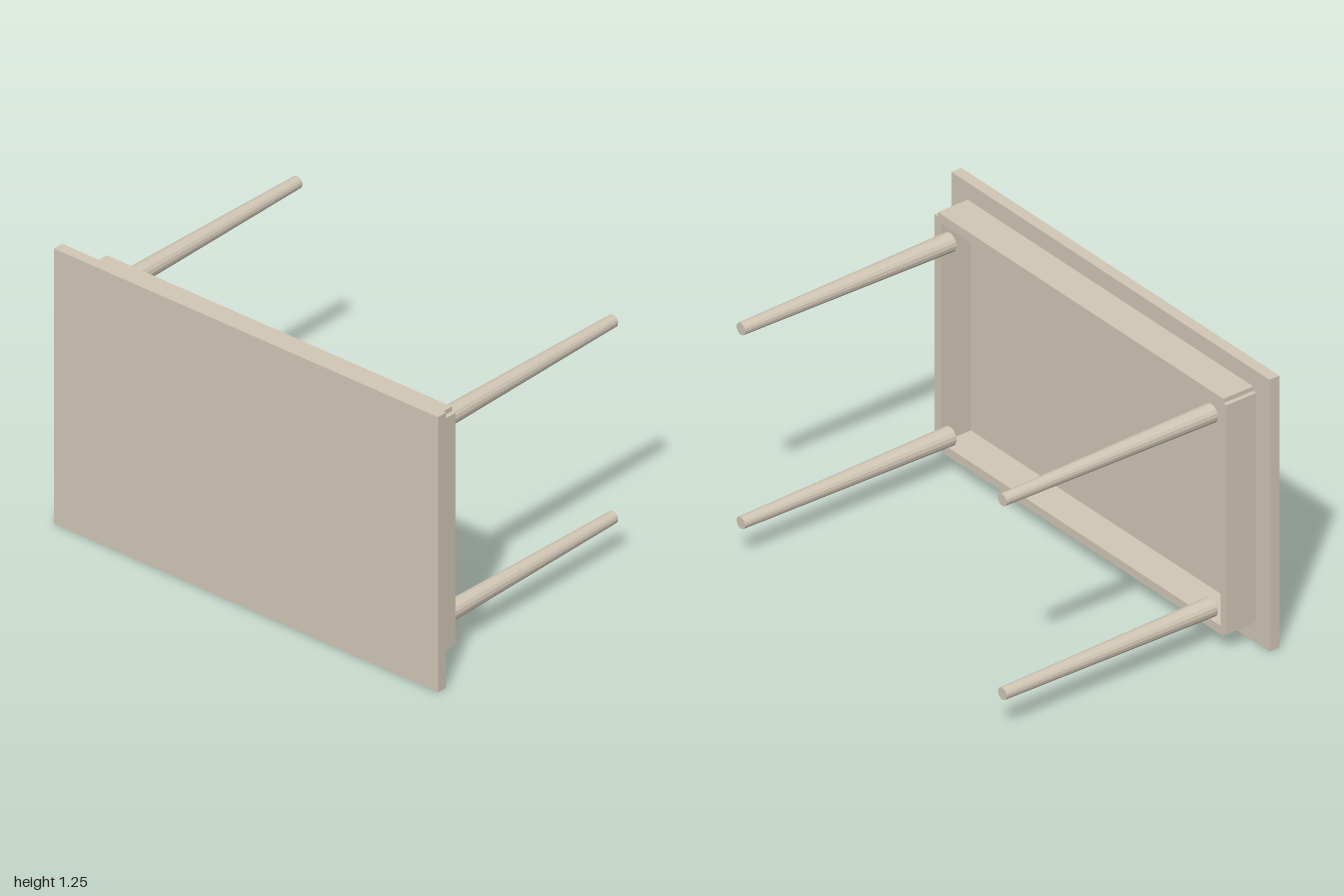
import * as THREE from 'three';

// A table tipped on its side: the top faces +z and the legs point to -z.
export function createModel() {
  const model = new THREE.Group();
  model.name = 'table';
  const material = new THREE.MeshStandardMaterial({ color: 0xd0c6b5, flatShading: true });
  const midY = 0.625;

  function add(name, geometry, x, y, z) {
    const mesh = new THREE.Mesh(geometry, material);
    mesh.name = name;
    mesh.position.set(x, y, z);
    model.add(mesh);
    return mesh;
  }

  // Table top
  add('tableTop', new THREE.BoxGeometry(2, 1.25, 0.05), 0, midY, 0.6);

  // Apron frame: boards end at each other's centre lines, leaving notched corners
  const board = 0.04, depth = 0.15, apronZ = 0.5;
  const halfX = 0.898, halfY = 0.526;
  const longApron = new THREE.BoxGeometry(2 * halfX, board, depth);
  const shortApron = new THREE.BoxGeometry(board, 2 * halfY, depth);

  // Round tapered legs, wide at the apron and narrow at the foot
  const leg = new THREE.CylinderGeometry(0.042, 0.027, 1.05, 16);
  leg.rotateX(Math.PI / 2);

  for (const side of [-1, 1]) {
    add(side > 0 ? 'upperApron' : 'lowerApron', longApron, 0, midY + side * halfY, apronZ);
    add(side > 0 ? 'leftApron' : 'rightApron', shortApron, side * halfX, midY, apronZ);
    for (const row of [-1, 1]) {
      const name = (row > 0 ? 'upper' : 'lower') + (side > 0 ? 'Left' : 'Right') + 'Leg';
      add(name, leg, side * 0.822, midY + row * 0.446, -0.1);
    }
  }
  return model;
}
